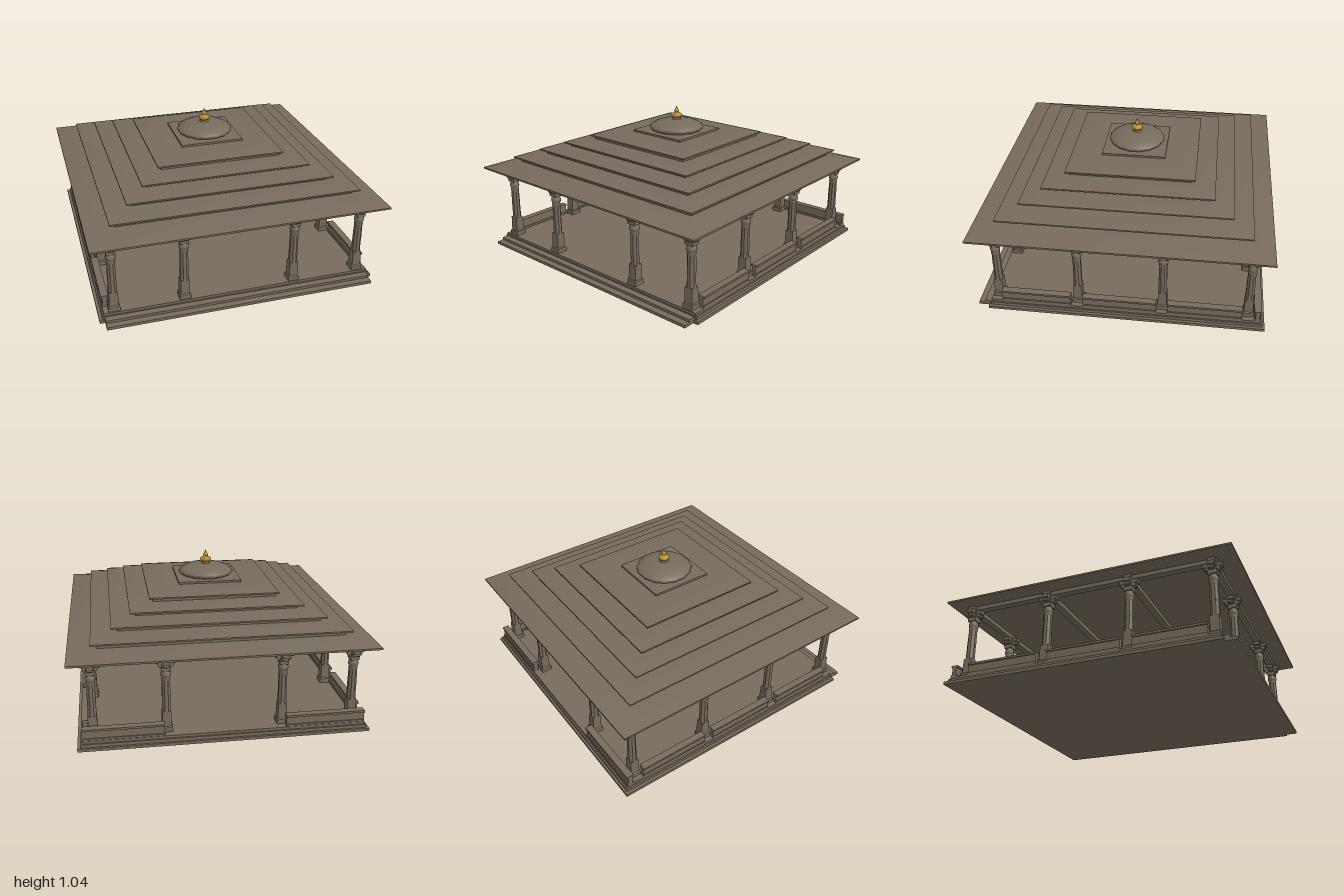
import * as THREE from 'three';

const stone = new THREE.MeshStandardMaterial({ color: 0x766b5d });
stone.name = 'stone';
const gold = new THREE.MeshStandardMaterial({ color: 0xb08a2e });
gold.name = 'gold';

const ZC = -0.012; // centre of the corner columns and roof tiers

function add(parent, name, geometry, material, x = 0, y = 0, z = 0) {
  const mesh = new THREE.Mesh(geometry, material);
  mesh.name = name;
  mesh.position.set(x, y, z);
  parent.add(mesh);
  return mesh;
}

// Box given by its extents on each axis
function block(parent, name, x0, x1, y0, y1, z0, z1) {
  return add(parent, name, new THREE.BoxGeometry(x1 - x0, y1 - y0, z1 - z0), stone,
    (x0 + x1) / 2, (y0 + y1) / 2, (z0 + z1) / 2);
}

const points = (list) => list.map(([r, y]) => new THREE.Vector2(r, y));

// Profile [half width, y] swept around a regular polygon, with smooth normals
function sweep(list, sides = 4) {
  const k = 1 / Math.cos(Math.PI / sides);
  return new THREE.LatheGeometry(points(list.map(([r, y]) => [r * k, y])), sides).rotateY(Math.PI / sides);
}

// The same sweep, flat shaded
function prism(list, sides = 4) {
  const g = sweep(list, sides).toNonIndexed();
  g.computeVertexNormals();
  return g;
}

// Platform with stepped mouldings and the wide front steps
function buildPlatform(root) {
  const g = new THREE.Group();
  g.name = 'platform';
  root.add(g);
  block(g, 'footing', -0.96, 0.96, 0, 0.02, -0.98, 0.905);
  block(g, 'plinth', -0.94, 0.94, 0.02, 0.042, -0.965, 0.895);
  block(g, 'floor', -0.93, 0.93, 0.042, 0.06, -0.955, 0.89);
  block(g, 'lowerStep', -0.925, 0.925, 0, 0.02, 0.905, 0.985);
  block(g, 'upperStep', -0.925, 0.925, 0.02, 0.038, 0.895, 0.94);
}

// Column: square foot, chamfered shaft, round collar and cross bracket
function buildColumn(root, x, z) {
  const g = new THREE.Group();
  g.name = 'column';
  g.position.set(x, 0, z);
  root.add(g);
  add(g, 'columnFoot', prism([[0, 0.06], [0.038, 0.06], [0.038, 0.09], [0.031, 0.096],
    [0.029, 0.2], [0, 0.2]]), stone);
  add(g, 'shaft', prism([[0.029, 0.2], [0.028, 0.21], [0.027, 0.3], [0.027, 0.31]], 8), stone);
  add(g, 'upperShaft', prism([[0, 0.3], [0.028, 0.3], [0.026, 0.415], [0, 0.415]], 8), stone);
  add(g, 'collar', new THREE.LatheGeometry(points([[0.024, 0.41], [0.031, 0.42], [0.025, 0.43],
    [0.032, 0.442], [0.034, 0.455], [0.031, 0.47], [0.024, 0.478], [0.024, 0.49]]), 16), stone);
  add(g, 'capital', prism([[0, 0.482], [0.03, 0.482], [0.03, 0.51], [0.027, 0.51],
    [0.027, 0.585], [0, 0.585]]), stone);
  for (let i = 0; i < 4; i++) {
    const arm = new THREE.Group();
    arm.name = 'bracketArm';
    arm.rotation.y = i * Math.PI / 2;
    g.add(arm);
    block(arm, 'bracketTop', 0, 0.063, 0.535, 0.558, -0.022, 0.022);
    block(arm, 'bracketStep', 0, 0.044, 0.51, 0.535, -0.019, 0.019);
    const scroll = add(arm, 'scroll', new THREE.CylinderGeometry(0.01, 0.01, 0.04, 10), stone, 0.042, 0.525, 0);
    scroll.rotation.x = Math.PI / 2;
  }
}

// Parapet: base, recessed panel and coping
function buildParapet(root, length, x, z, turned) {
  const g = new THREE.Group();
  g.name = 'parapet';
  g.position.set(x, 0, z);
  if (turned) g.rotation.y = Math.PI / 2;
  root.add(g);
  const h = length / 2;
  block(g, 'parapetBase', -h, h, 0.06, 0.074, -0.022, 0.022);
  block(g, 'parapetPanel', -h, h, 0.074, 0.126, -0.015, 0.015);
  block(g, 'coping', -h, h, 0.126, 0.14, -0.024, 0.024);
}

// Beams resting on the brackets, around the edge and across the hall
function buildBeams(root) {
  const g = new THREE.Group();
  g.name = 'beams';
  root.add(g);
  for (const z of [ZC - 0.855, -0.288, 0.29, ZC + 0.855])
    block(g, 'crossBeam', -0.9, 0.9, 0.558, 0.592, z - 0.024, z + 0.024);
  for (const x of [-0.857, 0.857])
    block(g, 'sideBeam', x - 0.024, x + 0.024, 0.56, 0.592, ZC - 0.89, ZC + 0.89);
}

function buildRoof(root) {
  const g = new THREE.Group();
  g.name = 'roof';
  root.add(g);
  add(g, 'eaveSoffit', prism([[0, 0.588], [1, 0.588], [1, 0.6]]), stone);
  add(g, 'eave', sweep([[1, 0.6], [0.92, 0.62], [0.84, 0.633], [0.75, 0.638]]), stone);
  // Stepped tiers: edge half width, underside height, wall half width, wall foot
  const tiers = [
    [0.848, 0.667, 0.81, 0.62], [0.714, 0.722, 0.675, 0.685],
    [0.586, 0.772, 0.55, 0.735], [0.447, 0.822, 0.425, 0.785],
  ];
  for (const [w, y, wall, foot] of tiers) {
    add(g, 'tierWall', prism([[wall, foot], [wall, y - 0.004], [w, y - 0.004], [w, y + 0.006]]), stone, 0, 0, ZC);
    add(g, 'tierRoof', sweep([[w, y + 0.006], [w - 0.05, y + 0.016], [w - 0.11, y + 0.023],
      [w - 0.18, y + 0.026], [0, y + 0.026]]), stone, 0, 0, ZC);
  }
  add(g, 'domePlinth', prism([[0.21, 0.84], [0.223, 0.848], [0.223, 0.862], [0, 0.862]]), stone, 0, 0, ZC);

  // Dome with sixteen shallow lobes that fade out towards the crown
  const dome = new THREE.LatheGeometry(points([[0.17, 0.86], [0.188, 0.868], [0.199, 0.882], [0.194, 0.893],
    [0.172, 0.908], [0.135, 0.923], [0.09, 0.933], [0.04, 0.939], [0, 0.94]]), 128);
  const p = dome.attributes.position;
  for (let i = 0; i < p.count; i++) {
    const x = p.getX(i), z = p.getZ(i);
    const lobe = Math.abs(Math.sin(8 * Math.atan2(x, z)));
    const s = 1 - 0.04 * (1 - lobe) * Math.min(1, Math.hypot(x, z) / 0.19) ** 3;
    p.setX(i, x * s);
    p.setZ(i, z * s);
  }
  add(g, 'dome', dome, stone, 0, 0, ZC);
  add(g, 'finialSeat', new THREE.CylinderGeometry(0.028, 0.036, 0.014, 24), stone, 0, 0.942, ZC);
  add(g, 'finial', new THREE.LatheGeometry(points([[0.018, 0.945], [0.026, 0.951], [0.037, 0.96], [0.04, 0.969],
    [0.035, 0.978], [0.02, 0.986], [0.011, 0.99], [0.018, 0.995], [0.017, 1.001], [0.011, 1.012],
    [0.005, 1.025], [0, 1.037]]), 24), gold, 0, 0, ZC);
  add(g, 'ceilingBoss', new THREE.LatheGeometry(points([[0, 0.551], [0.016, 0.555], [0.028, 0.565],
    [0.04, 0.578], [0.05, 0.59]]), 20), stone, 0, 0, ZC);
}

export function createModel() {
  const root = new THREE.Group();
  root.name = 'pavilion';
  buildPlatform(root);

  for (const s of [-1, 1]) {
    // Columns: four on every side, sharing the corners
    for (const x of [0.857, 0.383])
      for (const z of [-0.855, 0.855]) buildColumn(root, s * x, ZC + z);
    for (const z of [-0.288, 0.29]) buildColumn(root, s * 0.857, z);
    // Side parapets in three bays [z, length], and the back parapet in the outer bays only
    for (const [z, length] of [[0.572, 0.476], [0.002, 0.502], [-0.575, 0.502]])
      buildParapet(root, length, s * 0.908, z, true);
    buildParapet(root, 0.53, s * 0.665, -0.93, false);
  }

  buildBeams(root);
  buildRoof(root);
  return root;
}
